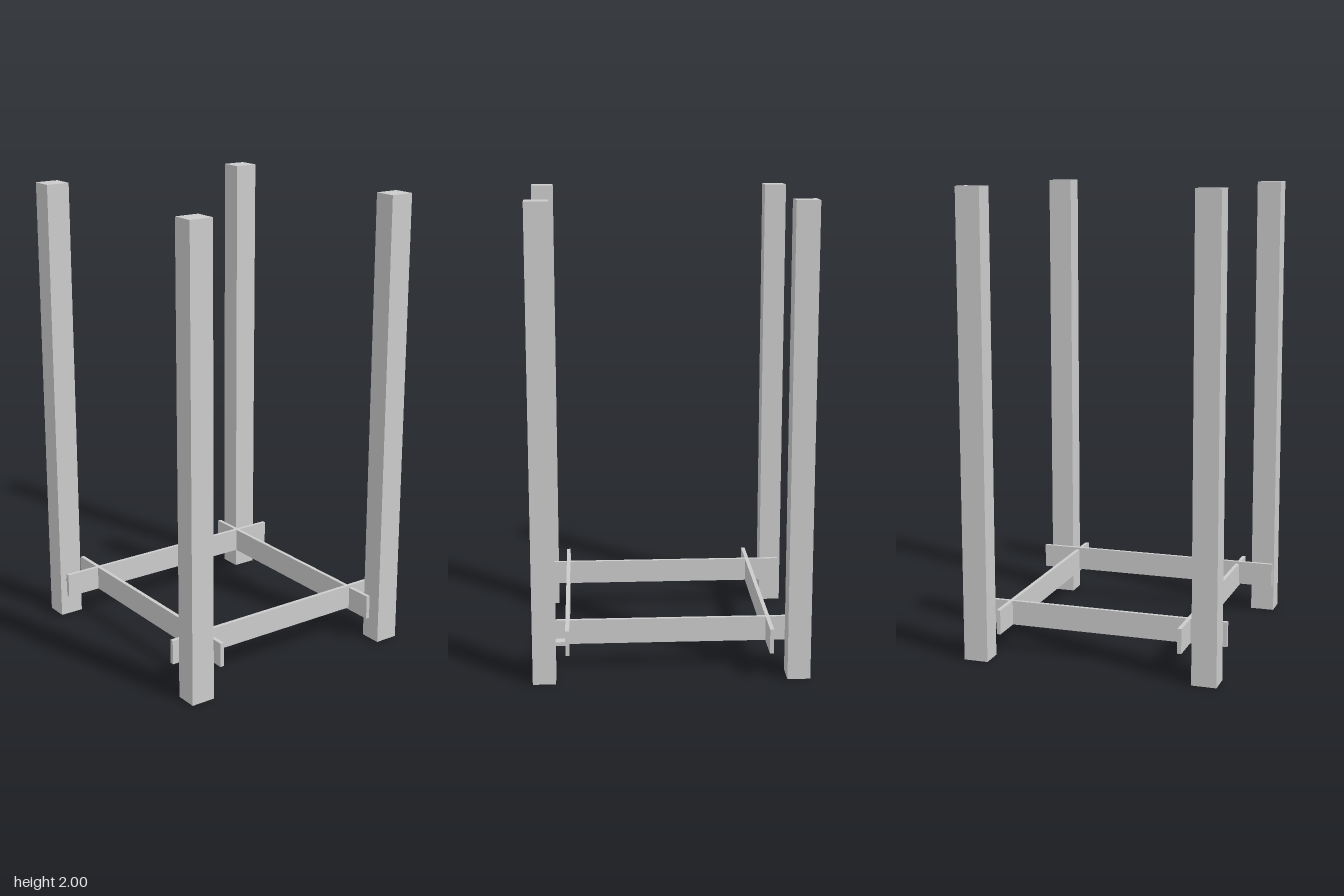
import * as THREE from 'three';

export function createModel() {
  const group = new THREE.Group();
  const material = new THREE.MeshStandardMaterial({ color: 0xcccccc, flatShading: true });

  // Box given by its limits on each axis
  const box = (name, [x0, x1], [y0, y1], [z0, z1]) => {
    const mesh = new THREE.Mesh(new THREE.BoxGeometry(x1 - x0, y1 - y0, z1 - z0), material);
    mesh.name = name;
    mesh.position.set((x0 + x1) / 2, (y0 + y1) / 2, (z0 + z1) / 2);
    group.add(mesh);
  };

  // Four tall square posts
  const frontZ = [0.455, 0.561];
  const backZ = [-0.548, -0.442];
  for (const [side, x] of [['left', [0.486, 0.583]], ['right', [-0.583, -0.486]]]) {
    box(`${side}FrontPost`, x, [0, 2], frontZ);
    box(`${side}BackPost`, x, [0, 2], backZ);
  }

  // Cross rails, front and back
  box('frontRail', [-0.564, 0.564], [0.122, 0.228], [0.39, 0.407]);
  box('backRail', [-0.564, 0.564], [0.122, 0.228], [-0.405, -0.388]);

  // Side rails; the left one sits slightly higher
  box('leftRail', [0.428, 0.445], [0.132, 0.238], [-0.564, 0.564]);
  box('rightRail', [-0.425, -0.408], [0.122, 0.228], [-0.564, 0.564]);

  // Flat tenons joining the side rails to three of the posts
  const tenonY = [0.164, 0.181];
  box('leftFrontTenon', [0.445, 0.486], tenonY, [0.493, 0.534]);
  box('leftBackTenon', [0.445, 0.486], tenonY, [-0.535, -0.494]);
  box('rightFrontTenon', [-0.486, -0.425], tenonY, [0.493, 0.534]);

  return group;
}
